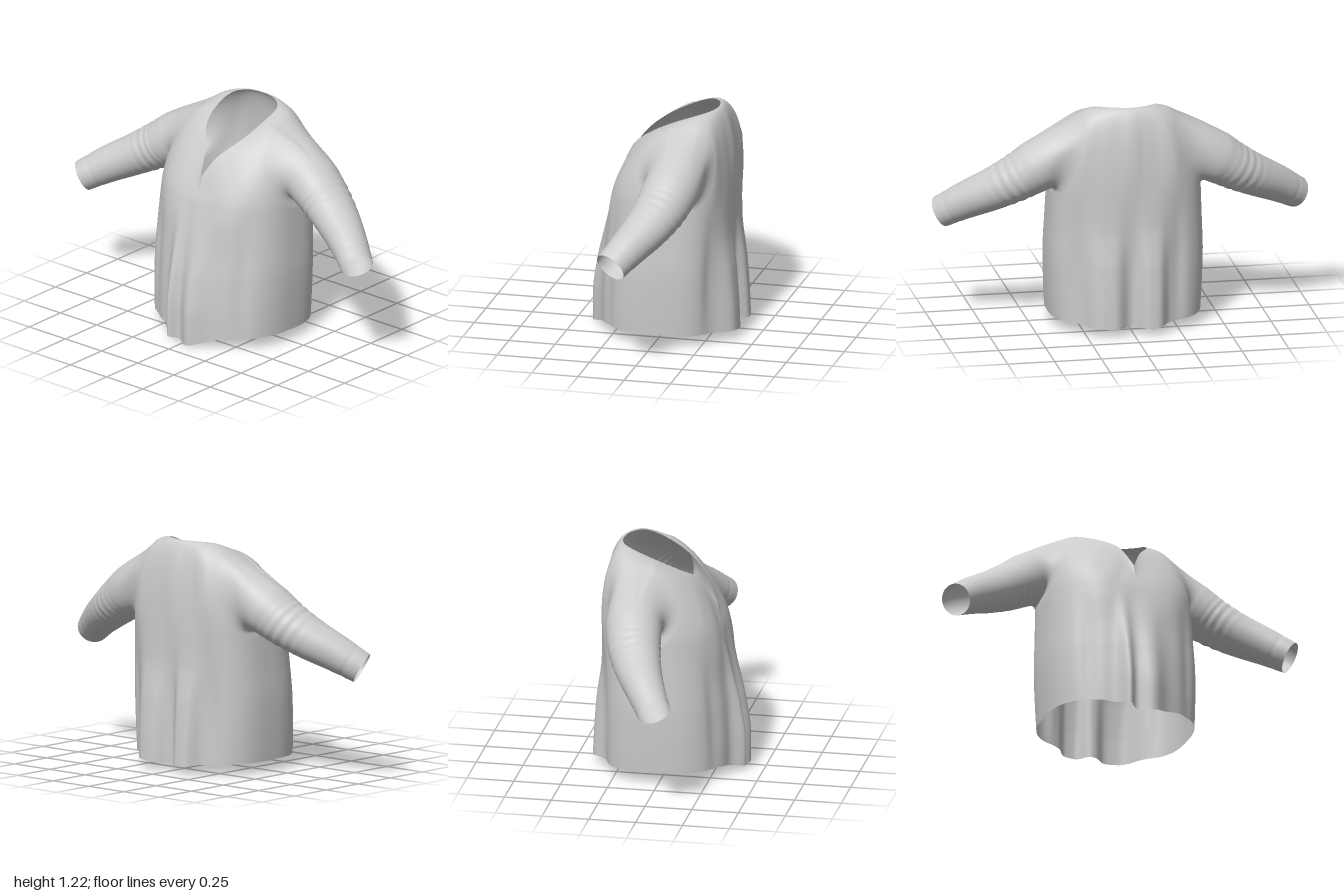
import * as THREE from 'three';

const V3 = (x, y, z) => new THREE.Vector3(x, y, z);
const curve = (pts) => new THREE.CatmullRomCurve3(pts.map((p) => V3(...p)));
const bump = (x, centre, width, power = 2) => Math.exp(-(Math.abs((x - centre) / width) ** power));

const material = new THREE.MeshStandardMaterial({ color: 0xcccccc, side: THREE.DoubleSide });

// Smooth tube-like surface: rows run along it, columns close around it;
// triangles that lie wholly in a hole are left out
function loft(name, rows, cols, pointAt, inHole = () => false) {
  const pos = [], index = [], cut = [];
  const addFace = (...f) => { if (!f.every((k) => cut[k])) index.push(...f); };
  for (let i = 0; i <= rows; i++) {
    for (let j = 0; j < cols; j++) {
      pos.push(...pointAt(i / rows, j / cols).toArray());
      cut.push(inHole(i / rows, j / cols));
    }
  }
  for (let i = 0; i < rows; i++) {
    for (let j = 0; j < cols; j++) {
      const a = i * cols + j, b = i * cols + ((j + 1) % cols);
      addFace(a, b, a + cols);
      addFace(b, b + cols, a + cols);
    }
  }
  const geo = new THREE.BufferGeometry();
  geo.setAttribute('position', new THREE.Float32BufferAttribute(pos, 3));
  geo.setIndex(index);
  geo.computeVertexNormals();
  const mesh = new THREE.Mesh(geo, material);
  mesh.name = name;
  return mesh;
}

// Body profile at even heights from hem to chest: half width, front z, back z
const CHEST = 0.75, SPLIT = 0.55;
const profile = curve([
  [0.4, 0.345, -0.34], [0.41, 0.345, -0.34], [0.415, 0.335, -0.34],
  [0.408, 0.315, -0.345], [0.4, 0.285, -0.352],
]);
// Fold depth at the same heights: front, back, sides
const folds = curve([
  [0.064, 0.068, 0.008], [0.064, 0.06, 0.014], [0.046, 0.045, 0.016],
  [0.02, 0.014, 0.01], [0, 0, 0],
]);
// Neckline from the V at the front, round the left, back and right
const neckline = curve([
  [0, 0.9, 0.24], [0.055, 1.0, 0.18], [0.14, 1.095, 0.07], [0.175, 1.165, -0.06],
  [0.17, 1.205, -0.17], [0.1, 1.215, -0.235], [0, 1.215, -0.26], [-0.09, 1.215, -0.24],
  [-0.145, 1.205, -0.18], [-0.155, 1.16, -0.06], [-0.12, 1.1, 0.06],
  [-0.05, 1.04, 0.14], [0, 0.9, 0.24],
]);

// Point on the body below the chest, u measured round from the front
function bodyPoint(y, u) {
  const t = THREE.MathUtils.clamp(y / CHEST, 0, 1);
  const p = profile.getPoint(t), f = folds.getPoint(t);
  const s = Math.sin(u * Math.PI * 2), c = Math.cos(u * Math.PI * 2);
  const front = c > 0, n = front ? 2.4 : 2.9;
  const mid = -0.04 * t;
  const k = Math.max(0, 1 - Math.abs(s) ** n) ** (1 / n);
  const x = p.x * s;
  let z = mid + k * ((front ? p.y : p.z) - mid);
  if (front) {
    // Hanging centre folds, side creases and a soft bust
    z += f.x * (bump(x, -0.09, 0.036) + bump(x, 0.045, 0.075));
    z -= f.z * (bump(x, 0.29, 0.04) + bump(x, -0.27, 0.04));
    z += 0.012 * bump(y, 0.7, 0.12) * (bump(x, 0.2, 0.1) + bump(x, -0.2, 0.1));
  } else {
    // Two hanging folds at the back
    z -= f.y * (bump(x, 0.145, 0.095, 4) + bump(x, -0.1, 0.07, 4));
    z += f.z * (bump(x, 0.3, 0.04) + bump(x, -0.24, 0.04));
  }
  return V3(x, y, z);
}

// Body: hem to chest, then curved over the shoulders to the neckline
function bodySurface(v, u) {
  const s = Math.sin(u * Math.PI * 2), c = Math.cos(u * Math.PI * 2);
  if (v <= SPLIT) {
    const hem = c > 0 ? 0.063 - 0.063 * bump(s, 0.03, 0.38) : 0.063 - 0.022 * bump(s, 0, 0.7);
    return bodyPoint(THREE.MathUtils.lerp(hem, CHEST, v / SPLIT), u);
  }
  const start = bodyPoint(CHEST, u), end = neckline.getPoint(u);
  const rise = start.clone().sub(bodyPoint(CHEST - 0.04, u)).multiplyScalar(1 / 0.04);
  const reach = 0.66 - 0.26 * Math.max(0, c);
  const c1 = start.clone().addScaledVector(rise, (end.y - start.y) * reach);
  const spread = 0.72 - (c > 0 ? 0.36 : 0.2) * Math.abs(c);
  const c2 = end.clone().lerp(start, spread);
  c2.y = end.y - 0.09 * Math.max(0, c);
  return new THREE.CubicBezierCurve3(start, c1, c2, end).getPoint((v - SPLIT) / (1 - SPLIT));
}

// Armholes: an oval in the body's own (u, v) coordinates, one per side
const HOLE = { u: 0.28, v: 0.72, du: 0.1, dv: 0.19 };
const mirrorU = (u) => (u > 0.5 ? 1 - u : u);
const holeOffset = (v, u) =>
  new THREE.Vector2((mirrorU(u) - HOLE.u) / HOLE.du, (v - HOLE.v) / HOLE.dv);
const inArmhole = (v, u) => holeOffset(v, u).length() < 1;

function armholePoint(offset, side) {
  const u = HOLE.u + HOLE.du * offset.x;
  return bodySurface(HOLE.v + HOLE.dv * offset.y, side > 0 ? u : 1 - u);
}

// Body grid with the vertices inside an armhole drawn out to its rim
function bodyWithArmholes(v, u) {
  if (!inArmhole(v, u)) return bodySurface(v, u);
  return armholePoint(holeOffset(v, u).normalize(), u > 0.5 ? -1 : 1);
}

// Sleeve centre line, and its radii (upright, sideways) at the same points
const sleevePath = curve([
  [0.48, 0.878, -0.114], [0.58, 0.815, -0.09], [0.7, 0.745, -0.045],
  [0.83, 0.673, 0.02], [0.947, 0.598, 0.088],
]);
const sleeveRadii = curve([
  [0.137, 0.147, 0], [0.123, 0.138, 0], [0.11, 0.122, 0], [0.097, 0.102, 0], [0.083, 0.088, 0],
]);

function sleeveSurface(side) {
  const blend = 0.35;
  return (v, u) => {
    const a = u * Math.PI * 2 * side;
    const t = Math.max(0, (v - blend) / (1 - blend));
    const along = sleevePath.getTangent(t);
    const fore = V3(0, 0, 1).addScaledVector(along, -along.z).normalize();
    const down = along.clone().cross(fore);
    const r = sleeveRadii.getPoint(t);
    // Bunched wrinkles above the elbow, and a cuff seam
    const wrinkle = 1 + 0.018 * bump(t, 0.3, 0.14) * Math.sin(t * 70 + 1.4 * Math.sin(a))
      - 0.02 * bump(t, 0.88, 0.018);
    const p = sleevePath.getPoint(t)
      .addScaledVector(fore, r.y * wrinkle * Math.cos(a))
      .addScaledVector(down, r.x * wrinkle * Math.sin(a));
    p.x *= side;
    if (v >= blend) return p;
    // Shoulder: leaves the armhole along the body and runs into the sleeve
    const rim = new THREE.Vector2(-Math.cos(a), -Math.sin(a));
    const start = armholePoint(rim, side);
    const leave = armholePoint(rim.clone().multiplyScalar(0.9), side).sub(start).normalize();
    const length = start.distanceTo(p) * 0.38;
    along.x *= side;
    const c1 = start.clone().addScaledVector(leave, length);
    const c2 = p.clone().addScaledVector(along, -length);
    return new THREE.CubicBezierCurve3(start, c1, c2, p).getPoint(v / blend);
  };
}

export function createModel() {
  const shirt = new THREE.Group();
  shirt.name = 'shirt';
  shirt.add(loft('body', 100, 240, bodyWithArmholes, inArmhole));
  shirt.add(loft('leftSleeve', 90, 120, sleeveSurface(1)));
  shirt.add(loft('rightSleeve', 90, 120, sleeveSurface(-1)));
  return shirt;
}
